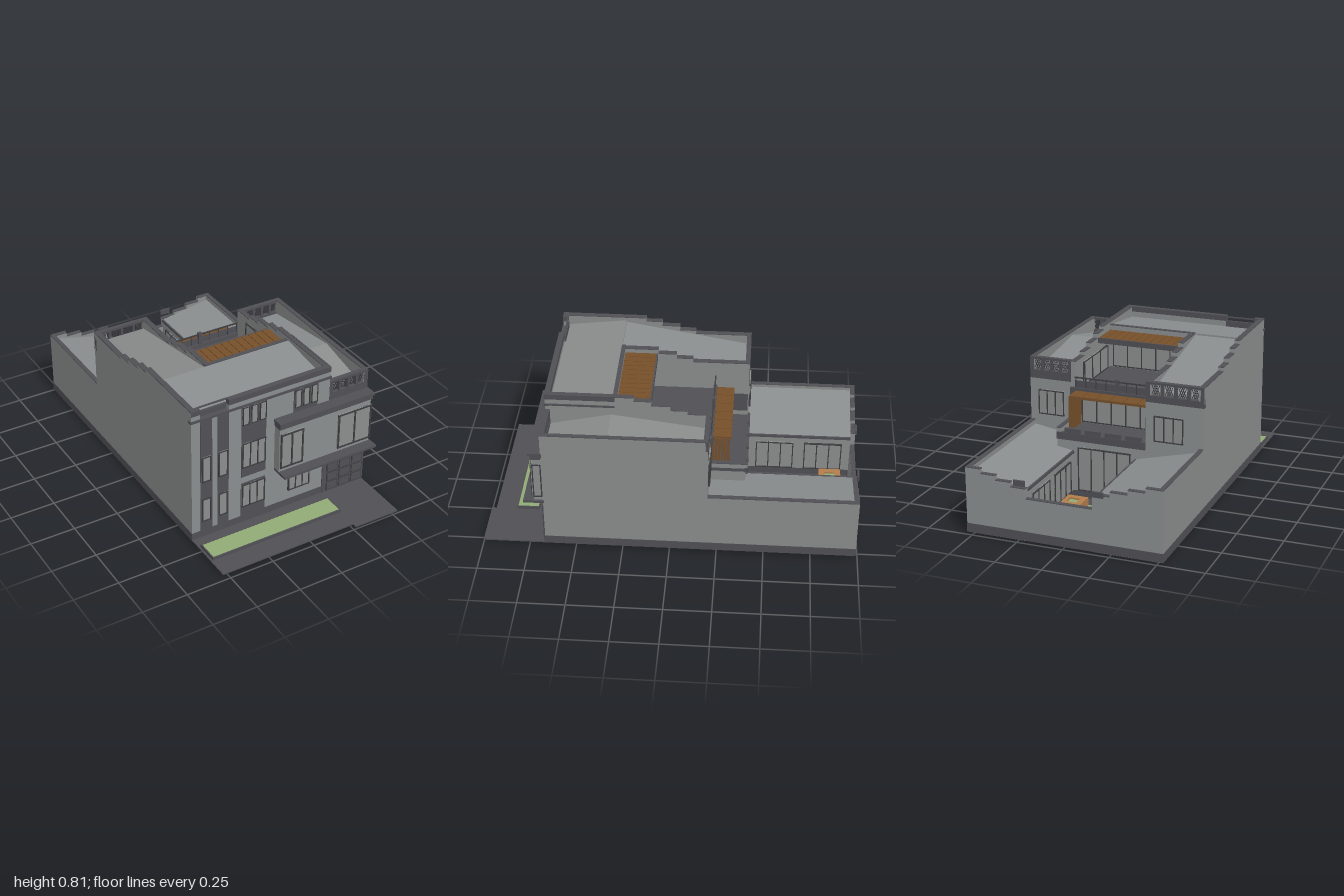
import * as THREE from 'three';

const mat = (name, color) => {
  const m = new THREE.MeshStandardMaterial({ color });
  m.name = name;
  return m;
};

export function createModel() {
  const light = mat('light render', 0x8a8d8d), dark = mat('dark stone', 0x505055);
  const frame = mat('window frame', 0x3e3e42), glass = mat('glass', 0x8a8e8c);
  const grass = mat('grass', 0x90ab75), wood = mat('wood', 0x764f2a), clay = mat('terracotta', 0xb27d4c);
  const root = new THREE.Group();
  root.name = 'courtyardHouse';

  const add = (name, geo, m, parent = root) => {
    const mesh = new THREE.Mesh(geo, m);
    mesh.name = name;
    parent.add(mesh);
    return mesh;
  };
  const box = (name, m, x0, x1, y0, y1, z0, z1, parent = root) => {
    const g = new THREE.BoxGeometry(x1 - x0, y1 - y0, z1 - z0);
    g.translate((x0 + x1) / 2, (y0 + y1) / 2, (z0 + z1) / 2);
    return add(name, g, m, parent);
  };
  // wall with a dark coping on top
  const wall = (name, x0, x1, y0, y1, z0, z1) => {
    box(name, light, x0, x1, y0, y1 - 0.004, z0, z1);
    box(name + 'Coping', dark, x0, x1, y1 - 0.004, y1, z0, z1);
  };
  // block whose upper face follows the rule top(x, z)
  const slopedRoof = (name, x0, x1, y0, z0, z1, top) => {
    const g = new THREE.BoxGeometry(x1 - x0, 0.1, z1 - z0);
    g.translate((x0 + x1) / 2, 0, (z0 + z1) / 2);
    const p = g.attributes.position;
    for (let i = 0; i < p.count; i++) p.setY(i, p.getY(i) > 0 ? top(p.getX(i), p.getZ(i)) : y0);
    g.computeVertexNormals();
    add(name, g, light);
  };
  // wall plane whose local x, y lie on the facade and local z points outwards
  const facade = (name, x, z, turn) => {
    const g = new THREE.Group();
    g.name = name;
    g.position.set(x, 0, z);
    g.rotation.y = turn;
    root.add(g);
    return g;
  };
  const windowOn = (parent, x0, x1, y0, y1, panes = 1, t = 0.006) => {
    box('windowPane', glass, x0, x1, y0, y1, -0.002, 0.007, parent);
    for (let i = 0; i <= panes; i++) {
      const x = x0 + (x1 - x0 - t) * i / panes;
      box('windowUpright', frame, x, x + t, y0, y1, 0, 0.011, parent);
    }
    for (const y of [y0, y1 - t]) box('windowRail', frame, x0, x1, y, y + t, 0, 0.0105, parent);
  };
  // parapet with four screened openings
  const screenParapet = (name, x0, x1, y0, y1, z) => {
    const s = new THREE.Shape([[x0, y0], [x1, y0], [x1, y1], [x0, y1]].map(a => new THREE.Vector2(...a)));
    const step = (x1 - x0 - 0.03) / 4;
    for (let i = 0; i < 4; i++) {
      const a = x0 + 0.02 + step * i, b = a + step - 0.014, c = y1 - 0.073, d = y1 - 0.013;
      s.holes.push(new THREE.Path([[a, c], [a, d], [b, d], [b, c]].map(q => new THREE.Vector2(...q))));
      for (const side of [-1, 1]) for (let k = 0; k < 3; k++) {
        const bar = add('screenBar', new THREE.BoxGeometry(0.003, 0.056, 0.004), frame);
        bar.position.set((a + b) / 2 + (k - 1) * 0.011, (c + d) / 2, z + 0.012);
        bar.rotation.z = side * 0.4;
      }
    }
    const g = new THREE.ExtrudeGeometry(s, { depth: 0.025, bevelEnabled: false });
    g.translate(0, 0, z);
    add(name, g, dark);
  };

  // ground slabs with lighter floor undersides, pavement and front planter
  box('groundSlab', dark, -0.53, 0.53, 0.011, 0.02, -0.99, 0.665);
  box('pavement', dark, -0.53, 0.26, 0.011, 0.018, 0.66, 0.975);
  box('driveway', dark, 0.26, 0.53, 0.011, 0.018, 0.66, 1.0);
  for (const [x0, x1, z0, z1] of [[-0.523, 0.268, -0.2, 0.66], [-0.523, -0.16, -0.985, -0.2], [0.2, 0.523, -0.985, -0.2]])
    box('floorUnderside', light, x0, x1, 0.008, 0.012, z0, z1);
  for (const [x, z] of [[-0.24, -0.31], [0.262, -0.31], [-0.24, -0.48], [0.262, -0.9]])
    box('footing', dark, x, x + 0.025, 0, 0.012, z, z + 0.09);
  for (const z of [0.735, 0.854]) box('planterKerb', dark, -0.52, 0.262, 0.018, 0.036, z, z + 0.006);
  for (const x of [-0.52, 0.256]) box('planterKerbEnd', dark, x, x + 0.006, 0.018, 0.036, 0.735, 0.86);
  box('planterGrass', grass, -0.515, 0.257, 0.018, 0.033, 0.737, 0.857);

  // main volumes: left, front, right, terrace and ground floor rear
  box('leftBlock', light, -0.53, -0.21, 0.06, 0.64, -0.39, 0.31);
  box('frontBlock', light, -0.53, 0.29, 0.06, 0.74, 0.31, 0.665);
  box('rightBlock', light, 0.29, 0.53, 0.06, 0.61, -0.2, 0.665);
  box('terraceBlock', light, -0.21, 0.29, 0.06, 0.54, -0.2, 0.31);
  box('terraceFloor', dark, -0.21, 0.265, 0.54, 0.55, -0.2, 0.31);
  box('rearGroundFloor', light, -0.21, 0.29, 0.06, 0.36, -0.39, -0.2);
  box('balconyFloor', dark, -0.21, 0.29, 0.36, 0.38, -0.4, -0.2);

  // dark base course under every volume, leaving the patio open
  for (const [x0, x1, z0, z1] of [[-0.532, 0.532, -0.39, 0.667], [-0.532, -0.158, -0.992, -0.39],
    [0.198, 0.532, -0.992, -0.39], [-0.158, 0.198, -0.992, -0.96]])
    box('baseCourse', dark, x0, x1, 0.013, 0.06, z0, z1);

  // main roofs meeting at a ridge, falling to front and back
  slopedRoof('leftRoof', -0.505, -0.235, 0.63, -0.37, 0.31, (x, z) => 0.78 - (0.31 - z) * 0.17);
  slopedRoof('frontRoof', -0.505, 0.275, 0.73, 0.31, 0.645, (x, z) => 0.79 - (z - 0.31) * 0.12);
  slopedRoof('rightRoofBack', 0.29, 0.51, 0.6, -0.18, 0.32, (x, z) => 0.7 - (0.32 - z) * 0.13);
  slopedRoof('rightRoofFront', 0.29, 0.51, 0.6, 0.32, 0.645, (x, z) => 0.7 - (z - 0.32) * 0.22);

  // stepped parapets beside the roofs
  const steps = [[0.2, 0.665, 0.81], [0.11, 0.2, 0.79], [0.01, 0.11, 0.765], [-0.08, 0.01, 0.74], [-0.39, -0.08, 0.72]];
  for (const [z0, z1, y] of steps) {
    wall('leftParapet', -0.53, -0.5, 0.63, y, z0, z1);
    wall('terraceLeftParapet', -0.24, -0.21, 0.53, Math.min(y, 0.79), z0, Math.min(z1, 0.31));
    wall('terraceRightParapet', 0.262, 0.29, 0.53, y, Math.max(z0, -0.2), z1);
  }
  wall('ridgeWall', -0.24, 0.29, 0.53, 0.795, 0.29, 0.312);
  wall('rightParapet', 0.505, 0.53, 0.6, 0.72, -0.2, 0.665);
  screenParapet('rightFrontScreen', 0.29, 0.53, 0.6, 0.72, 0.641);
  screenParapet('rightBackScreen', 0.29, 0.53, 0.6, 0.72, -0.201);
  screenParapet('leftBackScreen', -0.53, -0.21, 0.61, 0.72, -0.392);

  // front parapet, cornice and string course
  for (const [x0, x1] of [[-0.53, -0.478], [-0.315, 0.29]]) {
    box('frontParapet', light, x0, x1, 0.74, 0.782, 0.64, 0.665);
    box('cornice', dark, x0, x1, 0.782, 0.812, 0.638, 0.668);
  }
  box('recessedParapet', dark, -0.478, -0.315, 0.74, 0.785, 0.632, 0.645);
  box('recessedCoping', dark, -0.478, -0.315, 0.803, 0.81, 0.634, 0.642);
  box('sideCornice', dark, 0.285, 0.293, 0.782, 0.812, 0.3, 0.668);
  box('stringCourse', dark, -0.535, 0.296, 0.742, 0.755, 0.645, 0.671);
  box('sideStringCourse', dark, 0.285, 0.296, 0.745, 0.755, 0.3, 0.665);

  // front facade: dark strips and windows
  const front = facade('frontFacade', 0, 0.665, 0);
  for (const [x0, x1, y0, y1] of [[-0.48, -0.412, 0.06, 0.743], [-0.38, -0.315, 0.06, 0.743],
    [-0.24, -0.095, 0.06, 0.27], [-0.24, -0.095, 0.31, 0.743], [0.07, 0.215, 0.6, 0.743]])
    box('darkPanel', dark, x0, x1, y0, y1, 0, 0.004, front);
  for (const [y0, y1] of [[0.12, 0.262], [0.368, 0.522]]) {
    windowOn(front, -0.474, -0.422, y0, y1);
    windowOn(front, -0.378, -0.323, y0, y1);
    windowOn(front, -0.237, -0.098, y0, y1, 3);
  }
  for (const x of [-0.236, -0.186, -0.136, 0.075, 0.124, 0.174]) windowOn(front, x, x + 0.038, 0.633, 0.741, 1, 0.004);
  windowOn(front, 0.048, 0.18, 0.12, 0.262, 3);

  // projecting bay with eave and ledge
  box('bay', light, -0.04, 0.524, 0.3, 0.57, 0.66, 0.712);
  box('bayEave', dark, -0.043, 0.53, 0.565, 0.595, 0.66, 0.72);
  box('bayEaveCap', dark, -0.048, 0.535, 0.592, 0.606, 0.66, 0.73);
  box('bayLedge', dark, -0.04, 0.535, 0.285, 0.298, 0.66, 0.77);
  const bay = facade('bayFront', 0, 0.712, 0);
  windowOn(bay, -0.037, 0.102, 0.322, 0.532, 2, 0.009);
  windowOn(bay, 0.318, 0.526, 0.322, 0.532, 2, 0.009);
  windowOn(facade('baySide', 0.52, 0.69, Math.PI / 2), -0.024, 0.024, 0.322, 0.532, 1, 0.006);

  // garage door: dark leaf with outlined panels
  box('garageDoor', dark, 0.265, 0.53, 0.012, 0.285, 0, 0.006, front);
  for (let i = 0; i < 3; i++) for (let j = 0; j < 4; j++) {
    const x = 0.292 + i * 0.079, y = 0.028 + j * 0.059;
    box('panelOutline', frame, x, x + 0.07, y, y + 0.054, 0, 0.009, front);
    box('garagePanel', dark, x + 0.005, x + 0.065, y + 0.005, y + 0.049, 0, 0.011, front);
  }

  // terrace: timber boards, glazing and rear railing
  for (let i = 0; i < 11; i++) {
    const x = -0.208 + i * 0.0427;
    box('terracePergolaBoard', wood, x, x + 0.039, 0.745, 0.765, 0.12, 0.29);
  }
  box('pergolaBeam', dark, -0.21, 0.265, 0.735, 0.765, 0.112, 0.12);
  windowOn(facade('terraceGlazing', 0, 0.29, Math.PI), -0.24, 0.19, 0.555, 0.69, 5);
  windowOn(facade('terraceSideGlazing', 0.262, 0, -Math.PI / 2), -0.1, 0.24, 0.555, 0.69, 3);
  box('terraceKerb', dark, -0.21, 0.29, 0.53, 0.575, -0.215, -0.195);
  box('railPanel', dark, -0.21, 0.265, 0.575, 0.615, -0.207, -0.204);
  box('railTop', frame, -0.21, 0.265, 0.628, 0.635, -0.209, -0.202);
  box('railPier', dark, 0.01, 0.03, 0.55, 0.645, -0.212, -0.195);
  for (let i = 0; i <= 8; i++) box('railPost', frame, -0.208 + i * 0.058, -0.204 + i * 0.058, 0.57, 0.63, -0.208, -0.203);

  // balcony: timber canopy, slatted end, glazing and low walls
  for (let i = 0; i < 6; i++)
    box('canopyBoard', wood, -0.208 + i * 0.078, -0.134 + i * 0.078, 0.546, 0.56, -0.31, -0.21);
  for (let i = 0; i < 6; i++)
    box('canopySlat', wood, 0.228, 0.262, 0.38, 0.55, -0.219 - i * 0.0165, -0.207 - i * 0.0165);
  const backTerrace = facade('balconyFacade', 0, -0.2, Math.PI);
  windowOn(backTerrace, -0.225, 0.2, 0.385, 0.53, 5);
  wall('balconySideWall', 0.265, 0.29, 0.36, 0.41, -0.4, -0.2);
  box('balconyBeam', dark, -0.21, 0.29, 0.345, 0.385, -0.402, -0.385);
  for (let i = 0; i < 4; i++) box('balconyPanel', dark, -0.19 + i * 0.115, -0.1 + i * 0.115, 0.38, 0.41, -0.4, -0.388);
  box('balconyInnerPanel', dark, -0.21, -0.205, 0.41, 0.52, -0.385, -0.24);
  windowOn(facade('rightBlockBack', 0, -0.2, Math.PI), -0.48, -0.33, 0.4, 0.54, 3);
  windowOn(facade('leftBlockBack', 0, -0.39, Math.PI), 0.26, 0.42, 0.4, 0.54, 3);

  // rear wings with roofs falling towards the patio
  const wings = [[-1, 0.158, -0.39, 0.39], [1, 0.2, -0.2, 0.365]];
  for (const [s, inner, zEnd, high] of wings) {
    const span = (a, b) => (s > 0 ? [a, b] : [-b, -a]);
    box('wing', light, ...span(inner, 0.53), 0.06, 0.26, -0.99, -0.39);
    if (s > 0) box('wingLink', light, 0.29, 0.53, 0.06, 0.26, -0.39, -0.2);
    slopedRoof('wingRoof', ...span(inner, 0.507), 0.25, -0.965, zEnd, x => 0.285 + (Math.abs(x) - inner) * (high - 0.31) / 0.33);
    wall('wingOuterWall', ...span(0.505, 0.53), 0.25, high, -0.99, zEnd);
    box('wingEave', dark, ...span(inner - 0.006, inner + 0.004), 0.272, 0.287, -0.965, -0.39);
    box('wingSpout', dark, ...span(inner, inner + 0.062), 0.305, 0.335, -0.998, -0.988);
    const w = (0.53 - inner) / 4;
    for (let i = 0; i < 4; i++)
      wall('wingSteppedEnd', ...span(inner + i * w, inner + (i + 1) * w), 0.25, high - (3 - i) * 0.024, -0.99, -0.965);
    const patioSide = facade('patioSide', s * inner, -0.68, -s * Math.PI / 2);
    windowOn(patioSide, -0.24, -0.03, 0.065, 0.24, 3);
    windowOn(patioSide, 0.03, 0.24, 0.065, 0.24, 3);
  }
  wall('patioBackWall', -0.158, 0.2, 0.02, 0.24, -0.99, -0.965);
  windowOn(facade('patioFacade', 0, -0.39, Math.PI), -0.17, 0.13, 0.065, 0.31, 4);

  // patio lawn and terracotta planters
  box('patioLawn', grass, -0.11, 0.165, 0.007, 0.026, -0.92, -0.48);
  box('patioLawnCorner', grass, -0.155, -0.11, 0.007, 0.026, -0.92, -0.8);
  box('patioLawnEdge', grass, 0.165, 0.198, 0.007, 0.026, -0.6, -0.48);
  for (const [cx, cz] of [[-0.088, -0.86], [0.137, -0.543]]) {
    for (const k of [-1, 1]) {
      const a = cx + k * 0.045, b = cz + k * 0.045;
      box('planterSide', clay, a - 0.016, a + 0.016, 0.02, 0.07, cz - 0.061, cz + 0.061);
      box('planterEnd', clay, cx - 0.03, cx + 0.03, 0.02, 0.07, b - 0.016, b + 0.016);
    }
    box('planterSoil', grass, cx - 0.03, cx + 0.03, 0.02, 0.06, cz - 0.03, cz + 0.03);
  }
  return root;
}
